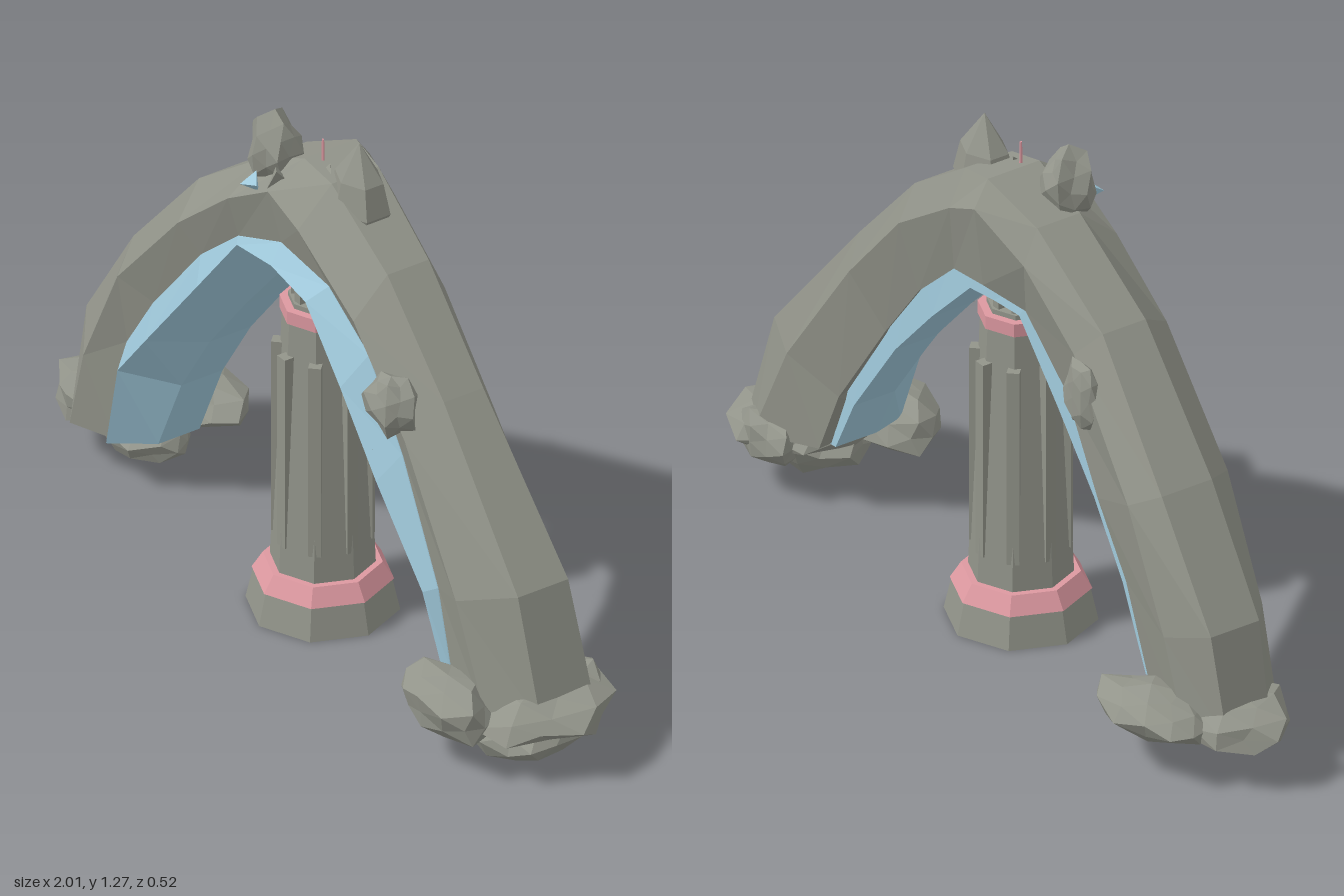
import * as THREE from 'three';

const mat = (name, color) => {
  const m = new THREE.MeshStandardMaterial({ color, flatShading: true });
  m.name = name;
  return m;
};

// Joins a series of equal-sized rings into a closed, flat-faced body.
function sweep(rings) {
  const pos = [], n = rings[0].length;
  const tri = (...pts) => pts.forEach(p => pos.push(...p));
  for (let i = 0; i < rings.length - 1; i++) {
    for (let j = 0; j < n; j++) {
      const k = (j + 1) % n, A = rings[i], B = rings[i + 1];
      tri(A[j], B[j], B[k]);
      tri(A[j], B[k], A[k]);
    }
  }
  const first = rings[0], last = rings[rings.length - 1];
  for (let j = 1; j < n - 1; j++) {
    tri(first[0], first[j], first[j + 1]);
    tri(last[0], last[j + 1], last[j]);
  }
  const g = new THREE.BufferGeometry();
  g.setAttribute('position', new THREE.Float32BufferAttribute(pos, 3));
  g.computeVertexNormals();
  return g;
}

// Faceted boulder: a sphere roughened by a rule, cut flat below the given floor.
function rockGeometry(seed, half, floor) {
  const g = new THREE.IcosahedronGeometry(1, 1), p = g.attributes.position;
  const v = new THREE.Vector3();
  for (let i = 0; i < p.count; i++) {
    v.fromBufferAttribute(p, i);
    v.multiplyScalar(1 + 0.14 * Math.sin(v.x * 5.1 + v.y * 7.3 + v.z * 6.2 + seed * 2.4));
    p.setXYZ(i, v.x * half[0], Math.max(v.y, floor) * half[1], v.z * half[2]);
  }
  g.computeVertexNormals();
  return g;
}

export function createModel() {
  const root = new THREE.Group();
  root.name = 'rockArchWithPillar';
  const stone = mat('stone grey', 0x92948a);
  const ice = mat('pale blue', 0x9fc8da);
  const pink = mat('pink band', 0xdc98a0);

  const add = (parent, name, geo, material, x = 0, y = 0, z = 0) => {
    const m = new THREE.Mesh(geo, material);
    m.name = name;
    m.position.set(x, y, z);
    parent.add(m);
    return m;
  };

  // Arch stations: outer xy, middle xy, front inner edge xy, z front, z back
  const arch = [
    [-.91, .12, -.80, .12, -.67, .13, .13, -.13],
    [-.86, .37, -.74, .33, -.61, .42, .135, -.14],
    [-.67, .65, -.60, .61, -.50, .58, .14, -.14],
    [-.40, .94, -.35, .88, -.30, .81, .15, -.11],
    [-.16, 1.11, -.17, 1.03, -.17, .92, .14, -.12],
    [-.01, 1.18, -.02, 1.12, -.01, .98, .135, -.15],
    [.09, 1.16, .09, 1.07, .17, .95, .13, -.14],
    [.30, 1.02, .30, .93, .32, .84, .125, -.13],
    [.52, .79, .50, .71, .45, .64, .125, -.125],
    [.83, .43, .72, .40, .61, .37, .14, -.14],
    [.92, .14, .84, .14, .66, .18, .14, -.15],
  ];
  // Lining at the same stations: front ridge xy, underside xy, ridge z
  const lining = [
    [-.665, .13, -.58, .14, .125], [-.60, .36, -.49, .34, .14], [-.48, .50, -.38, .51, .15],
    [-.27, .75, -.24, .68, .155], [-.12, .935, -.09, .85, .15], [0, .935, .01, .845, .14],
    [.14, .91, .10, .835, .145], [.29, .76, .25, .69, .155], [.43, .58, .39, .54, .155],
    [.59, .36, .55, .32, .14], [.645, .18, .62, .18, .125],
  ];
  add(root, 'arch', sweep(arch.map(([ox, oy, mx, my, ex, ey, zf, zb], i) => {
    const [, , ix, iy] = lining[i];
    return [[ox, oy, zf - .095], [ox, oy, zb + .045], [mx, my, zb],
      [ex + (ix - ex) * .6, ey + (iy - ey) * .6, zb + .04], [ex, ey, zf - .03], [mx, my, zf]];
  })), stone);
  add(root, 'archLining', sweep(lining.map(([fx, fy, ix, iy, fz], i) => {
    const [, , mx, my, ex, ey, zf] = arch[i];
    return [[ex, ey, zf - .028], [(ex + mx) / 2, (ey + my) / 2, -.06],
      [ix, iy, -.075], [ix, iy, .04], [fx, fy, fz]];
  })), ice);

  // Boulders: name, centre, half size, floor
  const rocks = [
    ['leftFootSlab', [.84, .135, -.01], [.15, .065, .17], -.75],
    ['leftFootFrontRock', [.725, .145, .165], [.155, .075, .09], -.8],
    ['leftFootLowerRock', [.83, .085, .02], [.12, .075, .12], -1],
    ['leftFootBackRock', [.81, .14, -.12], [.10, .07, .06], -.8],
    ['rightFootSlab', [-.84, .135, -.01], [.15, .06, .13], -.8],
    ['rightFootBackRock', [-.72, .14, -.16], [.16, .065, .095], -.8],
    ['rightFootLowerRock', [-.71, .09, -.02], [.12, .045, .11], -1],
    ['rightCrownRock', [-.11, 1.165, .05], [.062, .088, .062], -1],
    ['shoulderRock', [.44, .78, .12], [.075, .078, .052], -1],
    ['backRock', [-.38, .79, -.11], [.06, .085, .03], -1],
  ];
  rocks.forEach(([name, c, half, floor], i) =>
    add(root, name, rockGeometry(i + 1, half, floor), stone, ...c));

  // Pointed crown rock
  const spikeProfile = [[0, 0], [.06, 0], [.088, .05], [.068, .125], [0, .215]]
    .map(([x, y]) => new THREE.Vector2(x, y));
  const spike = add(root, 'leftCrownSpike', new THREE.LatheGeometry(spikeProfile, 6), stone, .12, 1.05, -.02);
  spike.scale.z = .75;

  // Small chips lodged in the arch and crown
  [
    [.39, .62, .125, .03, stone], [-.03, 1.14, .10, .035, stone],
    [.05, 1.15, .02, .035, stone], [-.085, 1.11, .13, .03, ice],
  ].forEach(([x, y, z, r, m], i) => {
    const chip = add(root, 'chip', new THREE.TetrahedronGeometry(r), m, x, y, z);
    chip.rotation.set(i, i * 2, .5);
  });

  // Octagonal pillar
  const pillar = new THREE.Group();
  pillar.name = 'pillar';
  pillar.position.set(.013, 0, .005);
  root.add(pillar);
  const drum = (name, top, bottom, y0, y1, m) =>
    add(pillar, name, new THREE.CylinderGeometry(top, bottom, y1 - y0, 8), m, 0, (y0 + y1) / 2, 0);
  drum('pillarBase', .16, .178, 0, .08, stone);
  drum('lowerBand', .138, .164, .08, .122, pink);
  drum('pillarShaft', .094, .122, .12, .78, stone);
  drum('upperBand', .1, .1, .775, .808, pink);
  drum('pillarCap', .08, .08, .80, .82, stone);

  // Upright ribs round the shaft and teeth round the cap
  for (let i = 0; i < 8; i++) {
    const spoke = new THREE.Group();
    spoke.name = 'pillarSpoke';
    spoke.rotation.y = i * Math.PI / 4;
    pillar.add(spoke);
    add(spoke, 'rib', new THREE.BoxGeometry(.03, .50, .03), stone, 0, .44, .102);
    add(spoke, 'tooth', new THREE.BoxGeometry(.022, .08, .018), stone, 0, .845, .062);
  }
  add(pillar, 'needle', new THREE.CylinderGeometry(.003, .012, .42, 5), pink, 0, 1.02, 0);

  return root;
}
